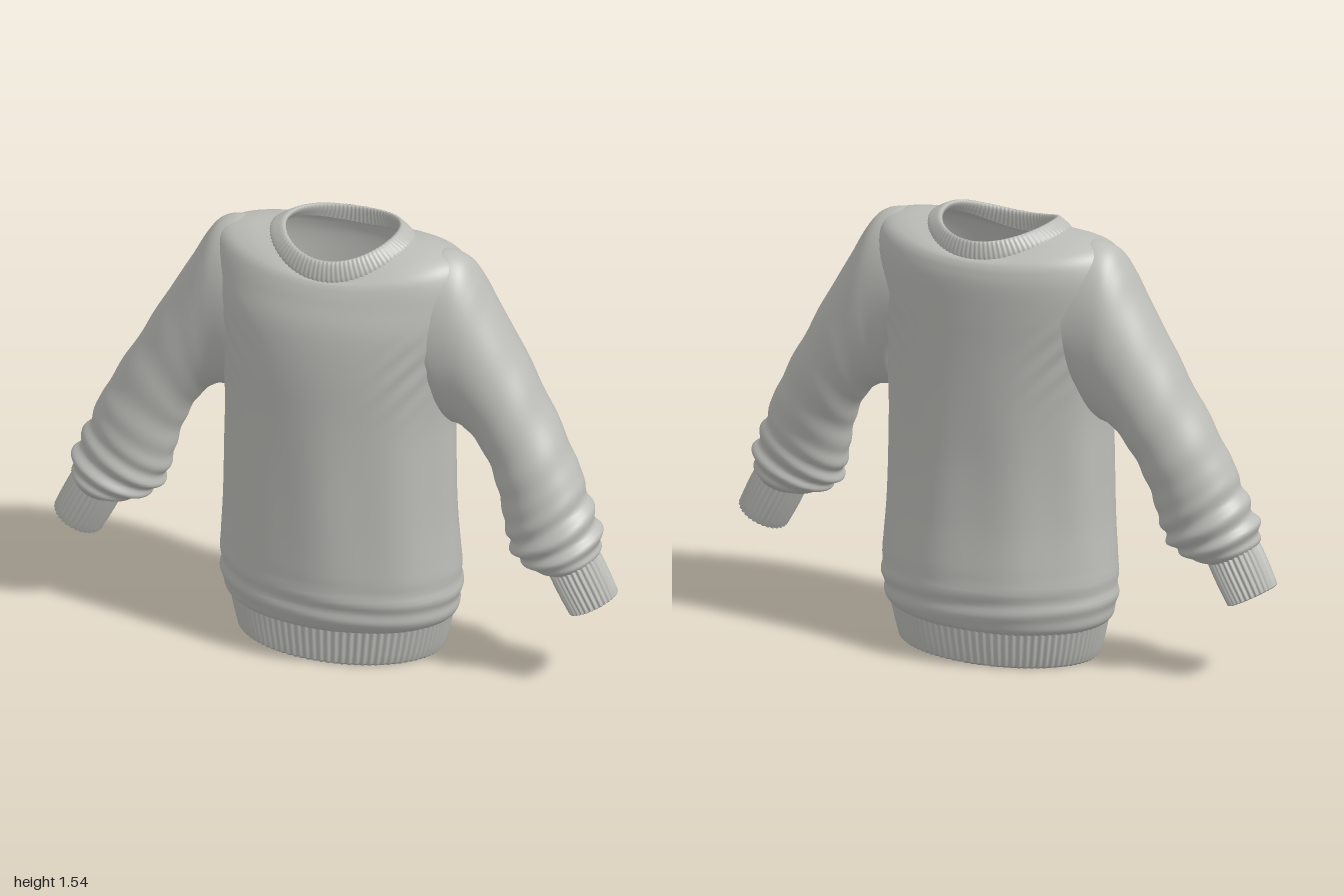
import * as THREE from 'three';

const TAU = Math.PI * 2;
const knit = new THREE.MeshStandardMaterial({ color: 0xbcbcb8, side: THREE.DoubleSide });
knit.name = 'grey knit';

// Smooth interpolation through rows of numbers, t in 0..1
function sample(rows, t) {
  const n = rows.length - 1;
  const i = Math.min(Math.floor(t * n), n - 1);
  const f = t * n - i;
  const p = k => rows[Math.max(0, Math.min(n, k))];
  return rows[0].map((_, c) => {
    const a = p(i - 1)[c], b = p(i)[c], d = p(i + 1)[c], e = p(i + 2)[c];
    return b + 0.5 * f * (d - a + f * (2 * a - 5 * b + 4 * d - e + f * (3 * (b - d) + e - a)));
  });
}

// Straight interpolation, for the folded edges of the ribbed bands
function sampleLinear(rows, t) {
  const n = rows.length - 1;
  const i = Math.min(Math.floor(t * n), n - 1);
  return rows[0].map((_, c) => THREE.MathUtils.lerp(rows[i][c], rows[i + 1][c], t * n - i));
}

// Closed rings joined into a surface; point(t, angle) gives [x, y, z]
function loft(name, steps, sides, point) {
  const pos = [], idx = [];
  for (let i = 0; i <= steps; i++) {
    for (let j = 0; j < sides; j++) pos.push(...point(i / steps, (j / sides) * TAU));
  }
  for (let i = 0; i < steps; i++) {
    for (let j = 0; j < sides; j++) {
      const a = i * sides + j, b = i * sides + ((j + 1) % sides);
      idx.push(a, a + sides, b, b, a + sides, b + sides);
    }
  }
  const g = new THREE.BufferGeometry();
  g.setAttribute('position', new THREE.Float32BufferAttribute(pos, 3));
  g.setIndex(idx);
  g.computeVertexNormals();
  const mesh = new THREE.Mesh(g, knit);
  mesh.name = name;
  return mesh;
}

// Ring around the torso: [y, half width, front z, back z, front dip, back dip]
function torsoPoint([y, w, zf, zb, df, db], a, swell = 0) {
  const c = Math.cos(a), s = Math.sin(a);
  const front = s > 0;
  return [
    c * (w + swell),
    y - s * s * (front ? df : db),
    s * ((front ? zf : -zb) + swell),
  ];
}

const bump = (v, centre, width) => Math.exp(-(((v - centre) / width) ** 2));

const bodyRows = [
  [0.125, 0.385, 0.245, -0.262, 0, 0],
  [0.15, 0.408, 0.272, -0.285, 0, 0],
  [0.2, 0.42, 0.29, -0.295, 0, 0],
  [0.3, 0.424, 0.297, -0.297, 0, 0],
  [0.5, 0.412, 0.295, -0.27, 0, 0],
  [0.7, 0.408, 0.292, -0.255, 0, 0],
  [0.9, 0.408, 0.29, -0.253, 0, 0],
  [1.1, 0.43, 0.288, -0.255, 0, 0],
  [1.25, 0.458, 0.272, -0.26, 0, 0],
  [1.36, 0.465, 0.24, -0.262, 0.01, 0],
  [1.44, 0.45, 0.222, -0.255, 0.045, 0.03],
  [1.485, 0.415, 0.212, -0.245, 0.072, 0.05],
  [1.508, 0.34, 0.205, -0.235, 0.088, 0.063],
  [1.518, 0.245, 0.198, -0.224, 0.095, 0.07],
];

// Torso with soft drape, hem folds and diagonal pulls below the armholes
function makeBody() {
  return loft('body', 90, 120, (t, a) => {
    const row = sample(bodyRows, t);
    const y = row[0], c = Math.cos(a), s = Math.sin(a);
    const drape = 0.004 * Math.sin(9 * a + 0.6) * bump(y, 0.6, 0.35);
    const hem = 0.005 * Math.sin(y * 75 + 2.5 * c) * bump(y, 0.23, 0.07);
    const pull = 0.006 * Math.sin((y - Math.abs(c) * 0.55) * 60)
      * bump(y, 1.1, 0.12) * bump(Math.abs(c), 0.72, 0.2) * Math.abs(s);
    return torsoPoint(row, a, drape + hem + pull);
  });
}

// Rings across a sleeve: [outer x, outer y, inner x, inner y, centre z, half depth]
const sleeveRows = [
  [0.3, 1.485, 0.36, 0.95, -0.01, 0.175],
  [0.37, 1.505, 0.38, 0.9, -0.01, 0.172],
  [0.44, 1.485, 0.41, 0.875, -0.012, 0.168],
  [0.49, 1.425, 0.428, 0.872, -0.014, 0.166],
  [0.54, 1.335, 0.455, 0.862, -0.014, 0.163],
  [0.625, 1.19, 0.5, 0.825, -0.013, 0.158],
  [0.715, 1.03, 0.55, 0.75, -0.005, 0.152],
  [0.805, 0.87, 0.582, 0.67, 0.01, 0.147],
  [0.862, 0.76, 0.602, 0.59, 0.022, 0.145],
  [0.898, 0.665, 0.622, 0.51, 0.032, 0.143],
  [0.942, 0.57, 0.655, 0.45, 0.043, 0.143],
  [0.948, 0.495, 0.72, 0.418, 0.052, 0.127],
  [0.932, 0.455, 0.785, 0.405, 0.057, 0.092],
];

// Sleeve with folds bunching up above the cuff
function makeSleeve(name, side) {
  return loft(name, 120, 64, (t, a) => {
    const [ox, oy, ix, iy, zc, d] = sample(sleeveRows, t);
    const c = Math.cos(a), s = Math.sin(a);
    const bunch = 0.065 * bump(t, 0.82, 0.1) * Math.sin(t * 82 + 1.6 * s + 0.8 * c);
    const soft = 0.018 * bump(t, 0.55, 0.13) * Math.sin(t * 60 + 2.2 * s - c);
    const k = 1 + bunch + soft;
    return [
      side * ((ox + ix) / 2 + (c * k * (ox - ix)) / 2),
      (oy + iy) / 2 + (c * k * (oy - iy)) / 2,
      zc - side * s * d * k,
    ];
  });
}

// Ribbed cuff: [distance along the axis, radius], outer wall then folded inside
function makeCuff(name, side) {
  const rows = [[-0.01, 0.09], [0.05, 0.091], [0.1, 0.09], [0.158, 0.087], [0.162, 0.08],
    [0.155, 0.075], [0.08, 0.078], [0, 0.08]];
  const ribs = 30;
  const dir = new THREE.Vector2(0.46, -0.888).normalize();
  return loft(name, 14, ribs * 6, (t, a) => {
    const [l, r0] = sampleLinear(rows, t);
    const r = r0 + 0.0035 * Math.cos(a * ribs);
    const c = Math.cos(a) * r, s = Math.sin(a) * r;
    return [
      side * (0.861 + dir.x * l - dir.y * c),
      0.446 + dir.y * l + dir.x * c,
      0.057 - side * s * 1.06,
    ];
  });
}

// Ribbed band around the torso, used for the hem and the collar
function makeBand(name, rows, ribs, depth) {
  return loft(name, (rows.length - 1) * 2, ribs * 6, (t, a) =>
    torsoPoint(sampleLinear(rows, t), a, depth * Math.cos(a * ribs)));
}

// Hem runs down the inside and back up the outside
const hemRows = [
  [0.14, 0.37, 0.232, -0.25, 0, 0],
  [0.07, 0.358, 0.225, -0.238, 0, 0],
  [0.005, 0.342, 0.222, -0.222, 0, 0],
  [0, 0.35, 0.232, -0.232, 0, 0],
  [0.01, 0.362, 0.24, -0.242, 0, 0],
  [0.07, 0.378, 0.246, -0.256, 0, 0],
  [0.135, 0.392, 0.252, -0.268, 0, 0],
];

// Collar rises from the neck seam, rolls over and returns inside
const collarRows = [
  [1.514, 0.252, 0.204, -0.23, 0.1, 0.075],
  [1.524, 0.244, 0.205, -0.23, 0.092, 0.064],
  [1.536, 0.222, 0.198, -0.225, 0.07, 0.046],
  [1.545, 0.204, 0.188, -0.219, 0.056, 0.037],
  [1.543, 0.193, 0.177, -0.211, 0.055, 0.037],
  [1.53, 0.194, 0.176, -0.211, 0.062, 0.045],
  [1.508, 0.215, 0.185, -0.215, 0.085, 0.06],
];

export function createModel() {
  const model = new THREE.Group();
  model.name = 'sweater';
  model.add(
    makeBody(),
    makeBand('hemBand', hemRows, 90, 0.003),
    makeBand('collar', collarRows, 90, 0.0012),
  );
  for (const [label, side] of [['left', 1], ['right', -1]]) {
    model.add(makeSleeve(label + 'Sleeve', side), makeCuff(label + 'Cuff', side));
  }
  return model;
}
